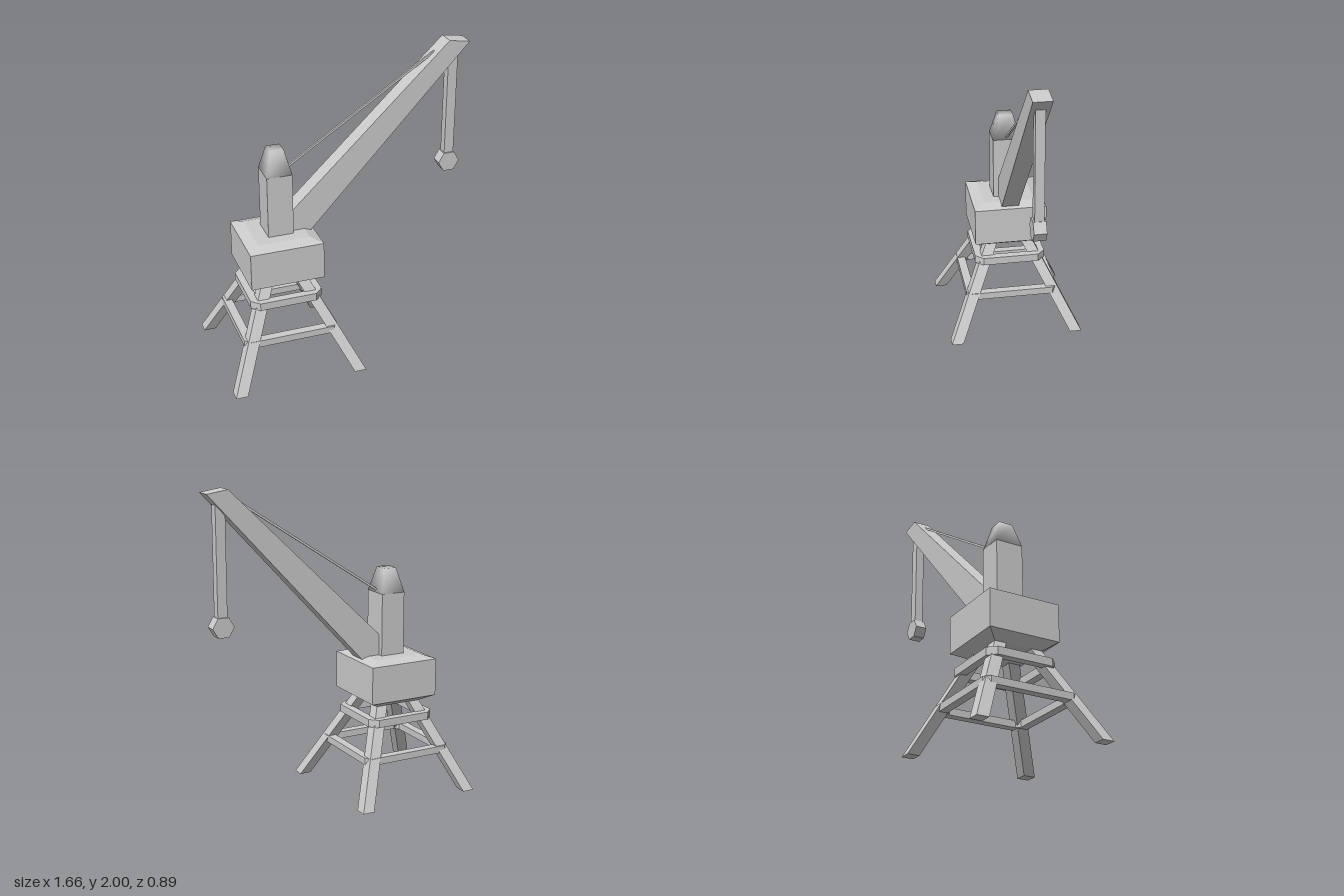
import * as THREE from 'three';

const CX = -0.41; // centre of the pedestal in x
const flat = new THREE.MeshStandardMaterial({ color: 0xcccccc, flatShading: true });
const smooth = new THREE.MeshStandardMaterial({ color: 0xcccccc });

function add(parent, name, geometry, material = flat) {
  const mesh = new THREE.Mesh(geometry, material);
  mesh.name = name;
  parent.add(mesh);
  return mesh;
}

// Solid lofted through rectangles [y, halfX, halfZ, centreX, centreZ], bottom to top
function loft(rings) {
  const pos = [], index = [];
  for (const [y, hx, hz, cx = 0, cz = 0] of rings)
    for (const [sx, sz] of [[1, 1], [1, -1], [-1, -1], [-1, 1]]) pos.push(cx + sx * hx, y, cz + sz * hz);
  for (let r = 0; r < rings.length - 1; r++)
    for (let i = 0; i < 4; i++) {
      const a = r * 4 + i, b = r * 4 + (i + 1) % 4;
      index.push(a, b, b + 4, a, b + 4, a + 4);
    }
  const t = (rings.length - 1) * 4;
  index.push(0, 2, 1, 0, 3, 2, t, t + 1, t + 2, t, t + 2, t + 3);
  const g = new THREE.BufferGeometry();
  g.setAttribute('position', new THREE.Float32BufferAttribute(pos, 3));
  g.setIndex(index);
  g.computeVertexNormals();
  return g;
}

// Square outline with cut corners
function cutSquare(h, c) {
  return [[h, h - c], [h - c, h], [c - h, h], [-h, h - c], [-h, c - h], [c - h, -h], [h - c, -h], [h, c - h]]
    .map(([x, y]) => new THREE.Vector2(x, y));
}

// Horizontal square ring
function ringFrame(outer, inner, cut, y0, y1) {
  const shape = new THREE.Shape(cutSquare(outer, cut));
  shape.holes.push(new THREE.Path(cutSquare(inner, cut * 0.7)));
  return new THREE.ExtrudeGeometry(shape, { depth: y1 - y0, bevelEnabled: false })
    .rotateX(-Math.PI / 2).translate(CX, y0, 0);
}

export function createModel() {
  const crane = new THREE.Group();
  crane.name = 'harbourCrane';

  // Four splayed legs, leaning in towards the cabin
  const legs = new THREE.Group();
  legs.name = 'legs';
  crane.add(legs);
  const w = 0.038;
  const feet = [[-0.79, 0.41], [-0.003, 0.392], [-0.033, -0.408], [-0.79, -0.39]];
  for (const [x, z] of feet) {
    add(legs, 'leg', loft([
      [0, w, w, x, z],
      [0.62, w, w, CX + Math.sign(x - CX) * 0.1, Math.sign(z) * 0.1],
    ]));
  }

  // Bracing rings around the legs
  add(crane, 'lowerBrace', ringFrame(0.305, 0.25, 0.035, 0.245, 0.29));
  add(crane, 'upperBrace', ringFrame(0.232, 0.18, 0.05, 0.46, 0.51));

  // Cabin with sloped underside and roof
  add(crane, 'cabin', loft([
    [0.575, 0.155, 0.155, CX], [0.62, 0.234, 0.234, CX],
    [0.86, 0.234, 0.234, CX], [0.885, 0.165, 0.165, CX],
  ]));

  // Tower and its tapered, softly shaded cap
  const tx = -0.406;
  add(crane, 'tower', loft([[0.87, 0.081, 0.09, tx], [1.285, 0.081, 0.09, tx]]));
  add(crane, 'towerCap', loft([[1.285, 0.081, 0.09, tx], [1.44, 0.043, 0.046, tx]]), smooth);

  // Boom
  const profile = [[-0.325, 0.87], [-0.2, 0.87], [0.83, 1.98], [0.695, 2], [-0.325, 1.02]];
  const shape = new THREE.Shape(profile.map(([x, y]) => new THREE.Vector2(x, y)));
  add(crane, 'boom', new THREE.ExtrudeGeometry(shape, { depth: 0.112, bevelEnabled: false })
    .translate(0, 0, -0.056));

  // Stay cable from the tower to the boom
  const from = new THREE.Vector2(-0.35, 1.29), to = new THREE.Vector2(0.62, 1.925);
  const d = to.clone().sub(from);
  const stay = add(crane, 'stayCable', new THREE.BoxGeometry(d.length(), 0.014, 0.014));
  stay.position.set((from.x + to.x) / 2, (from.y + to.y) / 2, 0);
  stay.rotation.z = d.angle();

  // Hoist line and hexagonal load block
  add(crane, 'hoistLine', new THREE.BoxGeometry(0.062, 0.7, 0.056)).position.set(0.736, 1.56, 0);
  add(crane, 'loadBlock', new THREE.CylinderGeometry(0.07, 0.07, 0.076, 6, 1, false, Math.PI / 6)
    .rotateX(Math.PI / 2)).position.set(0.735, 1.18, 0);

  return crane;
}
